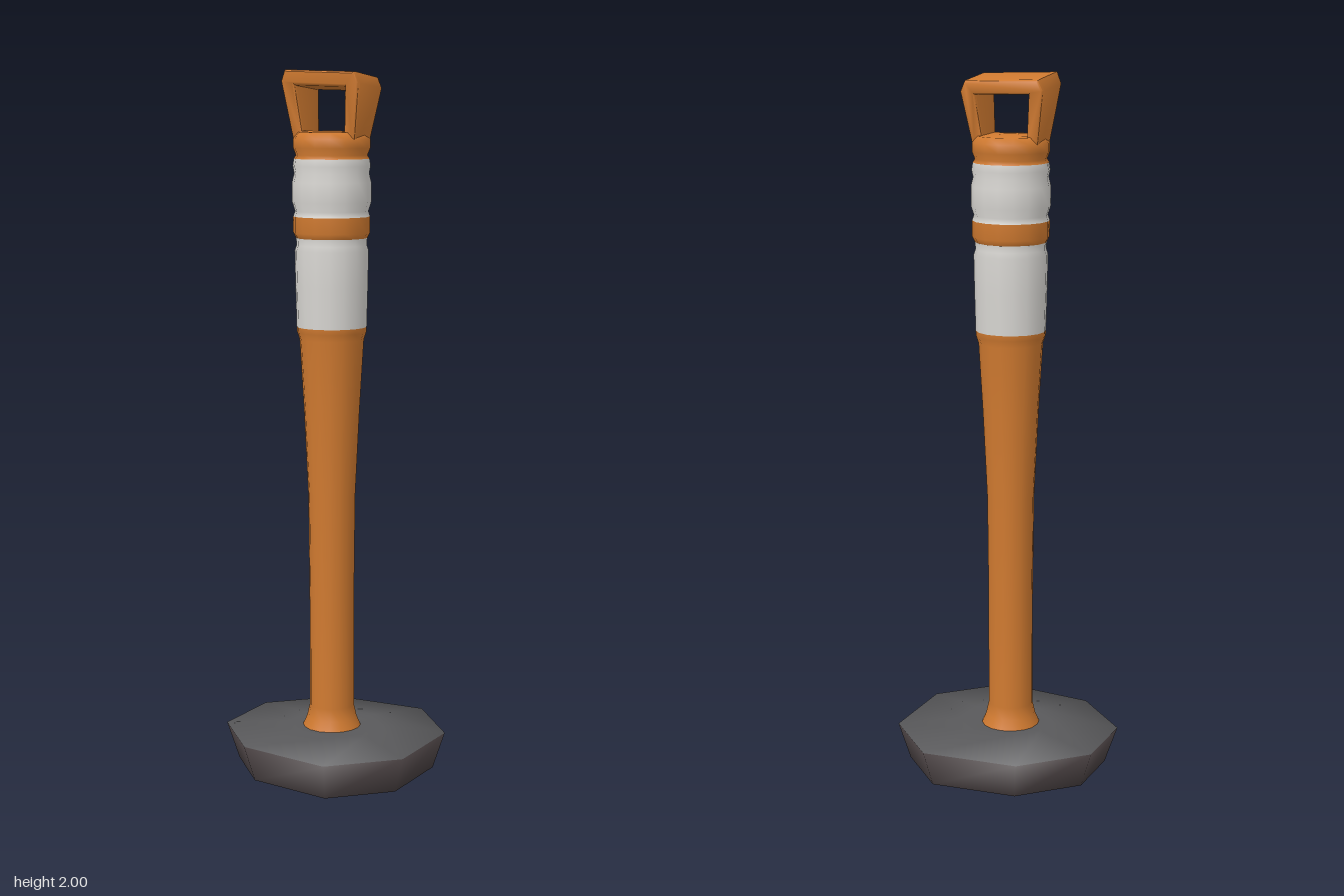
import * as THREE from 'three';
import { toCreasedNormals } from 'three/addons/utils/BufferGeometryUtils.js';

const mat = (name, color) => {
  const m = new THREE.MeshStandardMaterial({ color });
  m.name = name;
  return m;
};

export function createModel() {
  const orange = mat('orange plastic', 0xd07a30);
  const white = mat('reflective white', 0xd8d6d2);
  const rubberTop = mat('grey rubber', 0x59595b);
  const rubberSide = mat('dark rubber', 0x443c3d);
  const rubberUnder = mat('underside rubber', 0x2c2826);

  const model = new THREE.Group();
  model.name = 'delineatorPost';
  const add = (parent, name, geometry, material) => {
    const mesh = new THREE.Mesh(geometry, material);
    mesh.name = name;
    parent.add(mesh);
    return mesh;
  };

  // Weighted base: slightly uneven octagon, lofted through shrinking rings
  const corners = [[-0.12, -0.315], [0.11, -0.3], [0.305, -0.1], [0.28, 0.14],
    [0.08, 0.315], [-0.15, 0.3], [-0.305, 0.065], [-0.285, -0.17]];
  const rings = [[0.89, 0], [1, 0.105], [0.42, 0.122], [0.3, 0.118], [0.01, 0.118]]; // scale, height
  const n = corners.length;
  const positions = [], index = [];
  for (const [s, y] of rings) for (const [x, z] of corners) positions.push(x * s, y, z * s);
  for (let r = 0; r < rings.length - 1; r++) {
    for (let i = 0; i < n; i++) {
      const a = r * n + i, b = r * n + (i + 1) % n;
      index.push(a, a + n, b, b, a + n, b + n);
    }
  }
  const base = new THREE.BufferGeometry();
  base.setAttribute('position', new THREE.Float32BufferAttribute(positions, 3));
  base.setIndex(index);
  base.computeVertexNormals();
  base.addGroup(0, n * 6, 0);
  base.addGroup(n * 6, n * 6 * (rings.length - 2), 1);
  add(model, 'base', base, [rubberSide, rubberTop]);

  // Flat underside
  const under = new THREE.ShapeGeometry(
    new THREE.Shape(corners.map(([x, z]) => new THREE.Vector2(x * 0.89, z * 0.89))));
  add(model, 'underside', under.rotateX(Math.PI / 2), rubberUnder);

  // Post: turned sections stacked bottom to top
  const post = new THREE.Group();
  post.name = 'post';
  post.position.set(-0.013, 0, -0.013);
  model.add(post);
  const sections = [
    ['shaft', orange, [[0.085, 0.115], [0.072, 0.145], [0.064, 0.18], [0.064, 0.5], [0.067, 0.8],
      [0.079, 1.05], [0.091, 1.25], [0.098, 1.27], [0.099, 1.285]]],
    ['lowerBand', white, [[0.099, 1.285], [0.102, 1.4], [0.104, 1.5], [0.099, 1.515], [0.1, 1.535]]],
    ['middleStripe', orange, [[0.1, 1.535], [0.108, 1.55], [0.108, 1.595]]],
    ['upperBand', white, [[0.108, 1.595], [0.103, 1.61], [0.111, 1.635], [0.111, 1.69],
      [0.105, 1.715], [0.109, 1.735], [0.106, 1.755]]],
    ['cap', orange, [[0.106, 1.755], [0.1, 1.765], [0.108, 1.785], [0.108, 1.81], [0.095, 1.828], [0, 1.833]]],
  ];
  for (const [name, material, profile] of sections) {
    add(post, name, new THREE.LatheGeometry(profile.map(p => new THREE.Vector2(...p)), 16), material);
  }

  // Carrying handle: trapezoid loop, broader towards its tilted top
  const outline = new THREE.Shape([[-0.095, 1.79], [0.095, 1.79], [0.122, 1.955], [0.108, 1.985],
    [-0.108, 1.985], [-0.122, 1.955]].map(p => new THREE.Vector2(...p)));
  outline.holes.push(new THREE.Path([[-0.066, 1.83], [-0.078, 1.945], [0.078, 1.945], [0.066, 1.83]]
    .map(p => new THREE.Vector2(...p))));
  const loop = new THREE.ExtrudeGeometry(outline, {
    depth: 1.7, steps: 1, bevelEnabled: true, bevelThickness: 0.15, bevelSize: 0.006,
    bevelOffset: -0.006, bevelSegments: 2,
  });
  loop.translate(0, 0, -0.85);
  const p = loop.attributes.position;
  for (let i = 0; i < p.count; i++) {
    const x = p.getX(i), y = p.getY(i);
    const t = THREE.MathUtils.clamp((y - 1.79) / 0.19, 0, 1);
    const z = p.getZ(i) * THREE.MathUtils.lerp(0.045, 0.077, t);
    p.setXYZ(i, x, y + t * (0.004 + 0.11 * z - 0.03 * x), z);
  }
  const handle = add(post, 'handle', toCreasedNormals(loop, 0.8), orange);
  handle.rotation.y = -0.84;

  return model;
}
